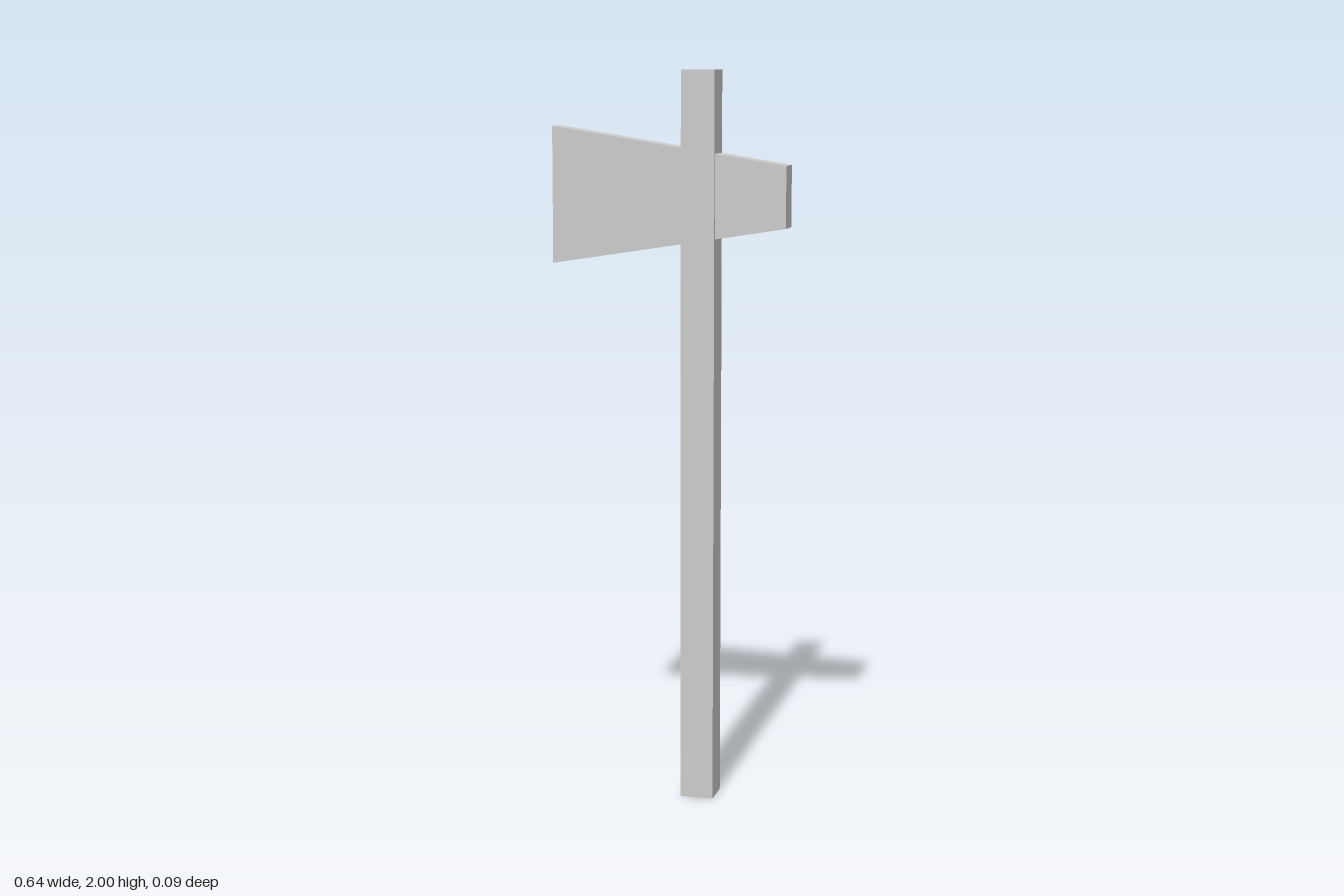
import * as THREE from 'three';

export function createModel() {
  const group = new THREE.Group();
  const material = new THREE.MeshStandardMaterial({ color: 0xcccccc, flatShading: true });

  // Square shaft, standing on the ground
  const handle = new THREE.Mesh(new THREE.BoxGeometry(0.092, 2, 0.092), material);
  handle.name = 'handle';
  handle.position.set(0.083, 1, 0);
  group.add(handle);

  // Tapered head: tall cutting end at -x, short butt at +x
  const outline = new THREE.Shape([
    [-0.322, 1.48], [0.322, 1.583], [0.322, 1.749], [-0.322, 1.85],
  ].map(([x, y]) => new THREE.Vector2(x, y)));
  const depth = 0.076;
  const headGeometry = new THREE.ExtrudeGeometry(outline, { depth, bevelEnabled: false });
  headGeometry.translate(0, 0, -depth / 2);
  const head = new THREE.Mesh(headGeometry, material);
  head.name = 'axeHead';
  group.add(head);

  return group;
}
